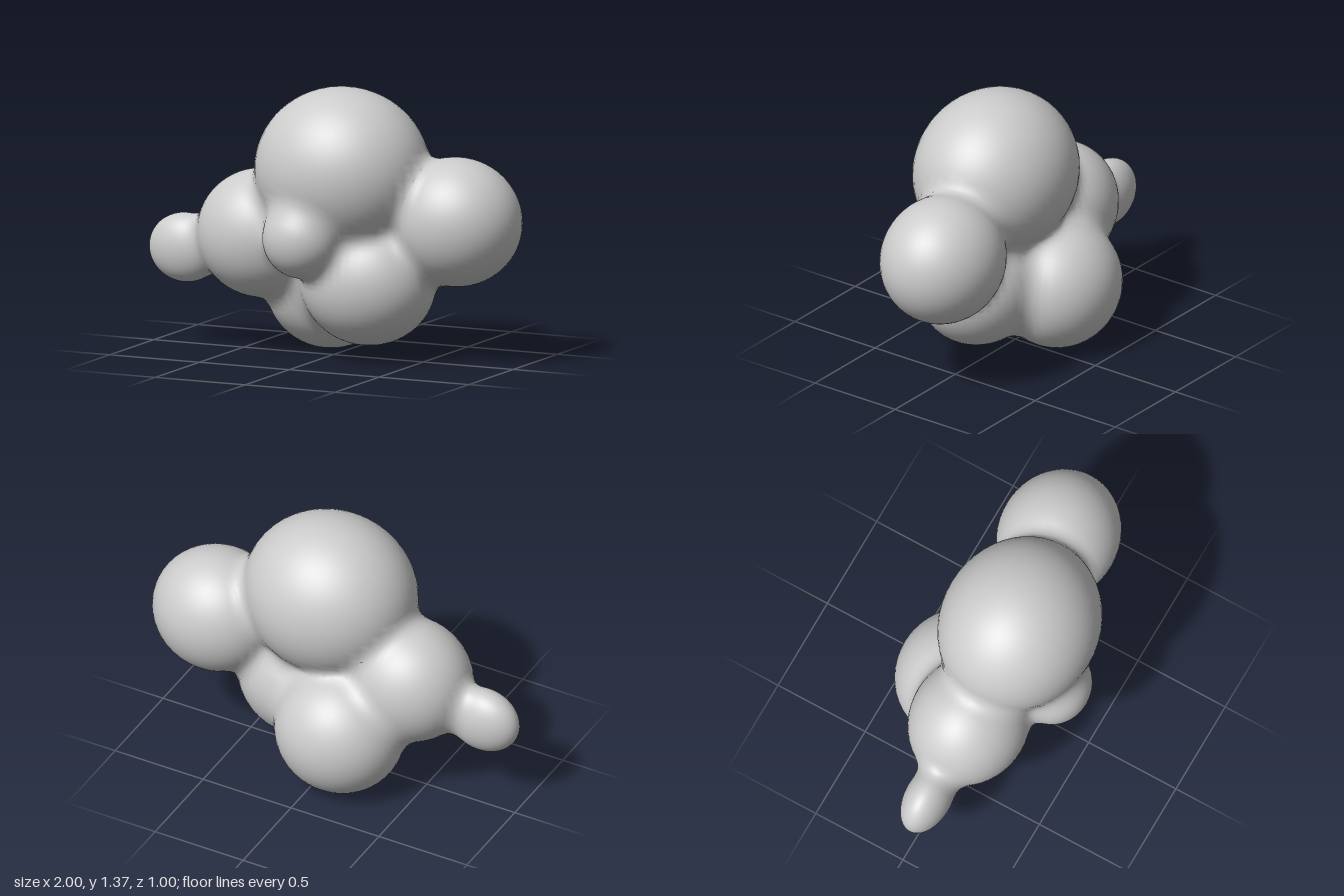
import * as THREE from 'three';

// name, centre, radii of each puff
const PUFFS = [
  ['topPuff', [0.08, 0.95, 0.06], [0.45, 0.42, 0.4]],
  ['leftPuff', [0.66, 0.715, -0.045], [0.34, 0.325, 0.305]],
  ['rightPuff', [-0.38, 0.595, 0.03], [0.335, 0.325, 0.3]],
  ['rightTipPuff', [-0.805, 0.49, 0.035], [0.195, 0.175, 0.117]],
  ['frontPuff', [-0.02, 0.635, 0.32], [0.2, 0.2, 0.18]],
  ['lowerFrontPuff', [0.22, 0.4, 0.055], [0.35, 0.325, 0.305]],
  ['lowerBackPuff', [-0.11, 0.33, -0.19], [0.335, 0.33, 0.31]],
].map(([name, c, r]) => ({ name, c: new THREE.Vector3(...c), r: new THREE.Vector3(...r) }));

const BLEND = 0.08;

// Approximate signed distance to one ellipsoid
function distance(p, { c, r }) {
  const q = p.clone().sub(c).divide(r);
  const k = q.length();
  return k * (k - 1) / Math.max(q.divide(r).length(), 1e-6);
}

// Smooth union of all puffs
function field(p) {
  return PUFFS.map((s) => distance(p, s)).reduce((a, b) => {
    const h = Math.max(BLEND - Math.abs(a - b), 0) / BLEND;
    return Math.min(a, b) - h * h * BLEND / 4;
  });
}

function gradient(p) {
  const e = 0.002;
  const slope = (x, y, z) => {
    const d = new THREE.Vector3(x, y, z).multiplyScalar(e);
    return field(p.clone().add(d)) - field(p.clone().sub(d));
  };
  return new THREE.Vector3(slope(1, 0, 0), slope(0, 1, 0), slope(0, 0, 1)).normalize();
}

// A sphere stretched to the puff, with fillets where it meets its neighbours
function puffGeometry(puff) {
  const geometry = new THREE.SphereGeometry(1, 48, 32);
  geometry.scale(puff.r.x, puff.r.y, puff.r.z).translate(puff.c.x, puff.c.y, puff.c.z);
  const { position, normal } = geometry.attributes;
  const p = new THREE.Vector3();
  for (let i = 0; i < position.count; i++) {
    p.fromBufferAttribute(position, i);
    const depth = Math.min(...PUFFS.map((s) => (s === puff ? 1 : distance(p, s))));
    if (depth < -0.03) continue; // hidden inside a neighbour
    if (depth < BLEND) {
      for (let step = 0; step < 4; step++) p.addScaledVector(gradient(p), -field(p));
    }
    const n = gradient(p);
    position.setXYZ(i, p.x, p.y, p.z);
    normal.setXYZ(i, n.x, n.y, n.z);
  }
  return geometry;
}

export function createModel() {
  const cloud = new THREE.Group();
  cloud.name = 'cloud';
  const material = new THREE.MeshStandardMaterial({ color: 0xcccccc });
  for (const puff of PUFFS) {
    const mesh = new THREE.Mesh(puffGeometry(puff), material);
    mesh.name = puff.name;
    cloud.add(mesh);
  }
  return cloud;
}
